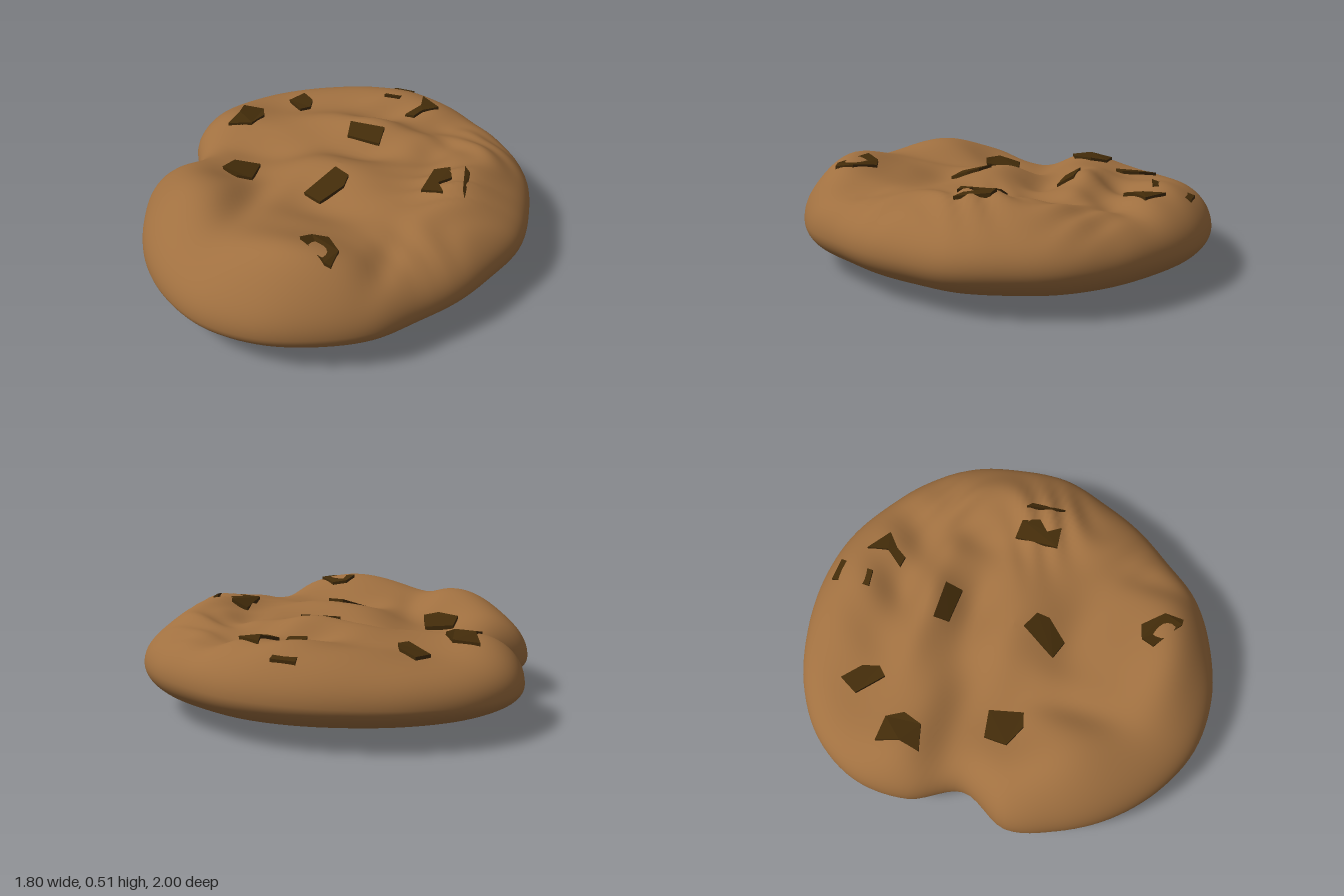
import * as THREE from 'three';

const dough = new THREE.MeshStandardMaterial({ color: 0xa07040 });
dough.name = 'baked dough';
const chocolate = new THREE.MeshStandardMaterial({ color: 0x432c0a });
chocolate.name = 'dark chocolate';

// Outline radius every 15 degrees, from +x towards +z, with a notch at -x
const radii = [0.9, 0.86, 0.855, 0.865, 0.92, 0.955, 0.995, 1.015, 1.0, 0.975, 0.945, 0.915,
  0.78, 0.92, 1.015, 1.05, 1.04, 1.015, 1.0, 0.985, 0.96, 0.955, 0.945, 0.915];
const outline = new THREE.CatmullRomCurve3(radii.map((r, i) => {
  const a = i * Math.PI / 12;
  return new THREE.Vector3(r * Math.cos(a), 0, r * Math.sin(a));
}), true, 'catmullrom', 0.5);

// Swells and hollows of the top: x, z, height, spread in x, spread in z
const bumps = [
  [0.12, 0.75, 0.125, 0.25, 0.13],
  [-0.56, 0.45, 0.085, 0.17, 0.22],
  [-0.46, 0.1, -0.09, 0.15, 0.13],
  [-0.55, -0.55, -0.06, 0.22, 0.22],
  [-0.72, -0.32, 0.035, 0.12, 0.12],
  [-0.55, -0.12, -0.07, 0.3, 0.08],
  [0.0, -0.22, -0.055, 0.2, 0.07],
  [0.0, -0.42, 0.04, 0.25, 0.06],
  [0.02, 0.0, 0.035, 0.17, 0.1],
  [0.0, 0.3, -0.05, 0.16, 0.09],
  [0.6, -0.1, 0.065, 0.13, 0.3],
  [0.1, -0.58, -0.045, 0.25, 0.08],
  [0.1, -0.85, 0.045, 0.25, 0.12],
  [-0.3, 0.35, -0.04, 0.06, 0.18],
  [0.42, 0.62, -0.03, 0.05, 0.14],
  [0.4, -0.35, -0.04, 0.07, 0.18],
];
const bell = (x, z, cx, cz, sx, sz) => Math.exp(-(((x - cx) / sx) ** 2 + ((z - cz) / sz) ** 2) / 2);

function crown(x, z) {
  let h = 0.425;
  for (const [cx, cz, amp, sx, sz] of bumps) h += amp * bell(x, z, cx, cz, sx, sz);
  // wrinkled folds on the left and back
  h += 0.013 * bell(x, z, 0.58, -0.1, 0.15, 0.35) * Math.sin(24 * x + 9 * Math.sin(6 * z));
  h += 0.014 * bell(x, z, 0.2, -0.6, 0.3, 0.15) * Math.sin(20 * x + 14 * z);
  h += 0.008 * bell(x, z, 0, 0, 0.5, 0.5) * Math.sin(13 * x - 4 * z) * Math.sin(11 * z + 3 * x);
  return h;
}
const rim = (x) => 0.2 + 0.025 * x;
const topY = (x, z, r) => rim(x) + (crown(x, z) - rim(x)) * Math.sqrt(Math.max(0, 1 - r ** 5));
const bottomY = (x, z, r) => rim(x) - (rim(x) - 0.012 - 0.075 * r * r) * Math.sqrt(Math.max(0, 1 - r ** 10));

// Distance from the centre as a fraction of the outline
function fraction(x, z) {
  const t = (Math.atan2(z, x) / (2 * Math.PI) + 1) % 1;
  return Math.min(1, Math.hypot(x, z) / outline.getPoint(t).length());
}

// Dough: closed loops from the underside's centre over the rim to the top's centre
function cookieGeometry(cols = 144, rows = 100) {
  const positions = [], index = [];
  for (let i = 0; i <= rows; i++) {
    const phi = Math.PI * i / rows;
    const r = Math.sin(phi);
    for (let j = 0; j < cols; j++) {
      const p = outline.getPoint(j / cols).multiplyScalar(r);
      positions.push(p.x, (i > rows / 2 ? topY : bottomY)(p.x, p.z, r), p.z);
      if (i === rows) continue;
      const a = i * cols + j, c = i * cols + (j + 1) % cols;
      index.push(a, a + cols, c, a + cols, c + cols, c);
    }
  }
  const g = new THREE.BufferGeometry();
  g.setAttribute('position', new THREE.Float32BufferAttribute(positions, 3));
  g.setIndex(index);
  g.computeVertexNormals();
  return g;
}

// Chocolate piece: a flat polygon draped on the dough
function chip(points, surface, low, high) {
  const shape = new THREE.Shape(points.map(([x, z]) => new THREE.Vector2(x, -z)));
  const g = new THREE.ExtrudeGeometry(shape, { depth: high - low, bevelEnabled: false });
  g.rotateX(-Math.PI / 2);
  const p = g.attributes.position;
  for (let i = 0; i < p.count; i++) {
    const x = p.getX(i), z = p.getZ(i);
    p.setY(i, p.getY(i) + low + surface(x, z, fraction(x, z)));
  }
  g.computeVertexNormals();
  return new THREE.Mesh(g, chocolate);
}

const topChips = [
  [[-0.02, -0.92], [0.09, -0.91], [0.06, -0.73], [-0.02, -0.72]],
  [[0.17, -0.8], [0.28, -0.72], [0.21, -0.66], [0.18, -0.61], [0.13, -0.62], [0.19, -0.7]],
  [[-0.47, -0.7], [-0.39, -0.62], [-0.37, -0.54], [-0.41, -0.5], [-0.52, -0.61]],
  [[-0.71, -0.44], [-0.59, -0.43], [-0.55, -0.35], [-0.58, -0.26], [-0.7, -0.23], [-0.68, -0.33]],
  [[-0.08, -0.37], [0.1, -0.37], [0.1, -0.29], [-0.07, -0.3]],
  [[0.43, -0.13], [0.51, -0.12], [0.54, -0.04], [0.49, 0.01], [0.53, 0.07], [0.43, 0.08]],
  [[-0.54, 0.03], [-0.41, 0.01], [-0.38, 0.17], [-0.45, 0.19], [-0.55, 0.14]],
  [[0, 0.05], [0.08, 0.09], [0.08, 0.15], [0, 0.25], [-0.09, 0.22]],
  [[0.17, 0.57], [0.25, 0.66], [0.25, 0.75], [0.22, 0.75], [0.07, 0.65], [0.1, 0.59]],
  [[0.58, -0.12], [0.61, -0.1], [0.63, 0.06], [0.61, 0.02]],
];
const bottomChips = [
  [[0.15, -0.01], [0.31, -0.28], [0.24, -0.4], [0.04, -0.44], [0.06, -0.3], [-0.01, -0.25], [0.02, -0.11]],
  [[0.06, -0.02], [0.01, -0.1], [-0.21, -0.13], [-0.23, -0.01], [-0.11, 0.03]],
  [[-0.14, -0.3], [-0.25, -0.37], [-0.42, -0.34], [-0.3, -0.18]],
];

export function createModel() {
  const model = new THREE.Group();
  model.name = 'cookie';
  const body = new THREE.Mesh(cookieGeometry(), dough);
  body.name = 'dough';
  model.add(body);

  const top = new THREE.Group();
  top.name = 'topChips';
  topChips.forEach((pts) => top.add(chip(pts, topY, -0.03, 0.015)));
  const bottom = new THREE.Group();
  bottom.name = 'bottomChips';
  bottomChips.forEach((pts) => bottom.add(chip(pts, bottomY, -0.012, 0.02)));
  for (const group of [top, bottom]) {
    group.children.forEach((m, i) => { m.name = `chocolateChip${i + 1}`; });
    model.add(group);
  }
  return model;
}
